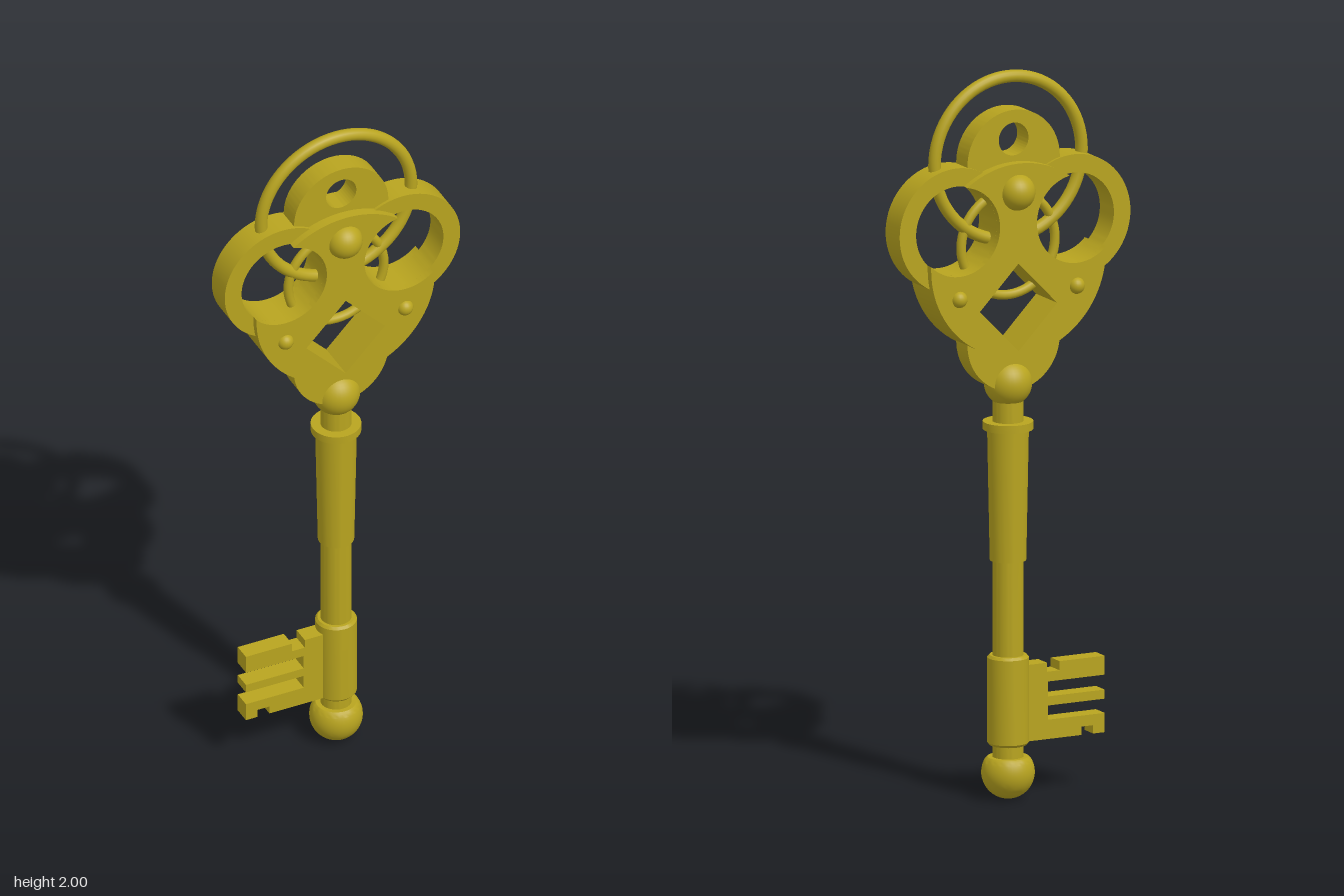
import * as THREE from 'three';
import { toCreasedNormals } from 'three/addons/utils/BufferGeometryUtils.js';

const PLATE_Y = 1.49, PLATE_R = 0.265;
const EYE_X = 0.178, EYE_Y = 1.585, EYE_R = 0.122;

export function createModel() {
  const key = new THREE.Group();
  key.name = 'key';
  const brass = new THREE.MeshStandardMaterial({ color: 0xb8a41f });

  const add = (name, geometry, x = 0, y = 0, z = 0) => {
    const mesh = new THREE.Mesh(geometry, brass);
    mesh.name = name;
    mesh.position.set(x, y, z);
    key.add(mesh);
    return mesh;
  };
  // Flat part cut from a shape, centred on z = 0
  const slab = (name, shape, halfDepth, x = 0, y = 0) => {
    const geo = new THREE.ExtrudeGeometry(shape, { depth: 2 * halfDepth, bevelEnabled: false, curveSegments: 40 });
    geo.translate(0, 0, -halfDepth);
    return add(name, toCreasedNormals(geo, 0.5), x, y);
  };
  const polygon = (pts, Type = THREE.Shape) => new Type(pts.map(([x, y]) => new THREE.Vector2(x, y)));
  const circle = (x, y, r) => new THREE.Path().absarc(x, y, r, 0, Math.PI * 2, false);
  const turned = (name, pts) => {
    const geo = new THREE.LatheGeometry(pts.map(([r, y]) => new THREE.Vector2(r, y)), 40);
    return add(name, toCreasedNormals(geo, 0.5));
  };

  // Central round plate: the two eye openings bite through its rim
  const d = Math.hypot(EYE_X, EYE_Y - PLATE_Y);
  const phi = Math.atan2(EYE_Y - PLATE_Y, EYE_X);
  const a = (PLATE_R ** 2 - EYE_R ** 2 + d * d) / (2 * d);
  const rim = Math.acos(a / PLATE_R);
  const bite = Math.acos((d - a) / EYE_R);
  const upper = phi + Math.PI - bite, lower = phi + Math.PI + bite;
  const plate = new THREE.Shape();
  plate.absarc(0, PLATE_Y, PLATE_R, phi + rim, Math.PI - phi - rim, false);
  plate.absarc(-EYE_X, EYE_Y, EYE_R, Math.PI - upper, Math.PI - lower, true);
  plate.absarc(0, PLATE_Y, PLATE_R, Math.PI - phi + rim, 2 * Math.PI + phi - rim, false);
  plate.absarc(EYE_X, EYE_Y, EYE_R, lower, upper, true);
  plate.holes.push(polygon([[0, 1.24], [0.117, 1.36], [0, 1.48], [-0.117, 1.36]], THREE.Path));
  slab('bowPlate', plate, 0.06);

  // Side eyes and rivets
  for (const s of [1, -1]) {
    const side = s > 0 ? 'left' : 'right';
    const eye = new THREE.Shape().absarc(0, 0, 0.172, 0, Math.PI * 2, false);
    eye.holes.push(circle(0, 0, EYE_R));
    slab(side + 'Eye', eye, 0.04, s * EYE_X, EYE_Y);
    for (const f of [1, -1])
      add(side + (f > 0 ? 'FrontRivet' : 'BackRivet'), new THREE.SphereGeometry(0.023, 20, 14), s * EYE_X, 1.4, f * 0.055);
  }

  // Top lobe with the hanging hole
  const topLobe = new THREE.Shape().absarc(0, 1.757, 0.14, -0.267, Math.PI + 0.267, false);
  topLobe.holes.push(circle(0, 1.817, 0.045));
  slab('topLobe', topLobe, 0.032);

  // Bottom lobe, notched under the diamond opening
  const bottomLobe = new THREE.Shape().absarc(0, 1.265, 0.14, Math.PI, Math.PI * 2, false);
  bottomLobe.lineTo(0.025, 1.265);
  bottomLobe.lineTo(0, 1.24);
  bottomLobe.lineTo(-0.025, 1.265);
  slab('bottomLobe', bottomLobe, 0.032);

  // Wire rings
  add('largeRing', new THREE.TorusGeometry(0.223, 0.017, 16, 72), 0, 1.76);
  add('smallRing', new THREE.TorusGeometry(0.142, 0.013, 14, 56), 0, 1.525);

  // Studs on both faces and the ball at the neck
  for (const f of [1, -1])
    add(f > 0 ? 'frontStud' : 'backStud', new THREE.SphereGeometry(0.05, 28, 20), 0, 1.675, f * 0.05);
  add('neckBall', new THREE.SphereGeometry(0.065, 32, 22), 0, 1.142);

  // Shaft, collar and barrel, turned from the top down to the tip
  turned('shaft', [
    [0, 0.1], [0.042, 0.1], [0.042, 0.148], [0.05, 0.148], [0.056, 0.155],
    [0.056, 0.388], [0.05, 0.395], [0.042, 0.395], [0.042, 0.655], [0.049, 0.655],
    [0.056, 1.015], [0.068, 1.015], [0.068, 1.037], [0.042, 1.037], [0.042, 1.11], [0, 1.11],
  ]);

  // Rounded tip with a flat top
  const tip = [];
  for (let i = 0; i <= 16; i++) {
    const t = -Math.PI / 2 + (i / 16) * (Math.PI / 2 + 0.55);
    tip.push([Math.max(0, 0.072 * Math.cos(t)), 0.072 + 0.072 * Math.sin(t)]);
  }
  tip.push([0.055, 0.115], [0, 0.115]);
  turned('tip', tip);

  // Bit with three prongs
  slab('bit', polygon([
    [-0.03, 0.155], [-0.21, 0.155], [-0.21, 0.178], [-0.245, 0.178], [-0.245, 0.155], [-0.28, 0.155],
    [-0.28, 0.208], [-0.108, 0.208], [-0.108, 0.247], [-0.28, 0.247], [-0.28, 0.272], [-0.108, 0.272],
    [-0.108, 0.313], [-0.28, 0.313], [-0.28, 0.365], [-0.143, 0.365], [-0.143, 0.34], [-0.105, 0.34],
    [-0.105, 0.365], [-0.03, 0.365],
  ]), 0.025);

  return key;
}
